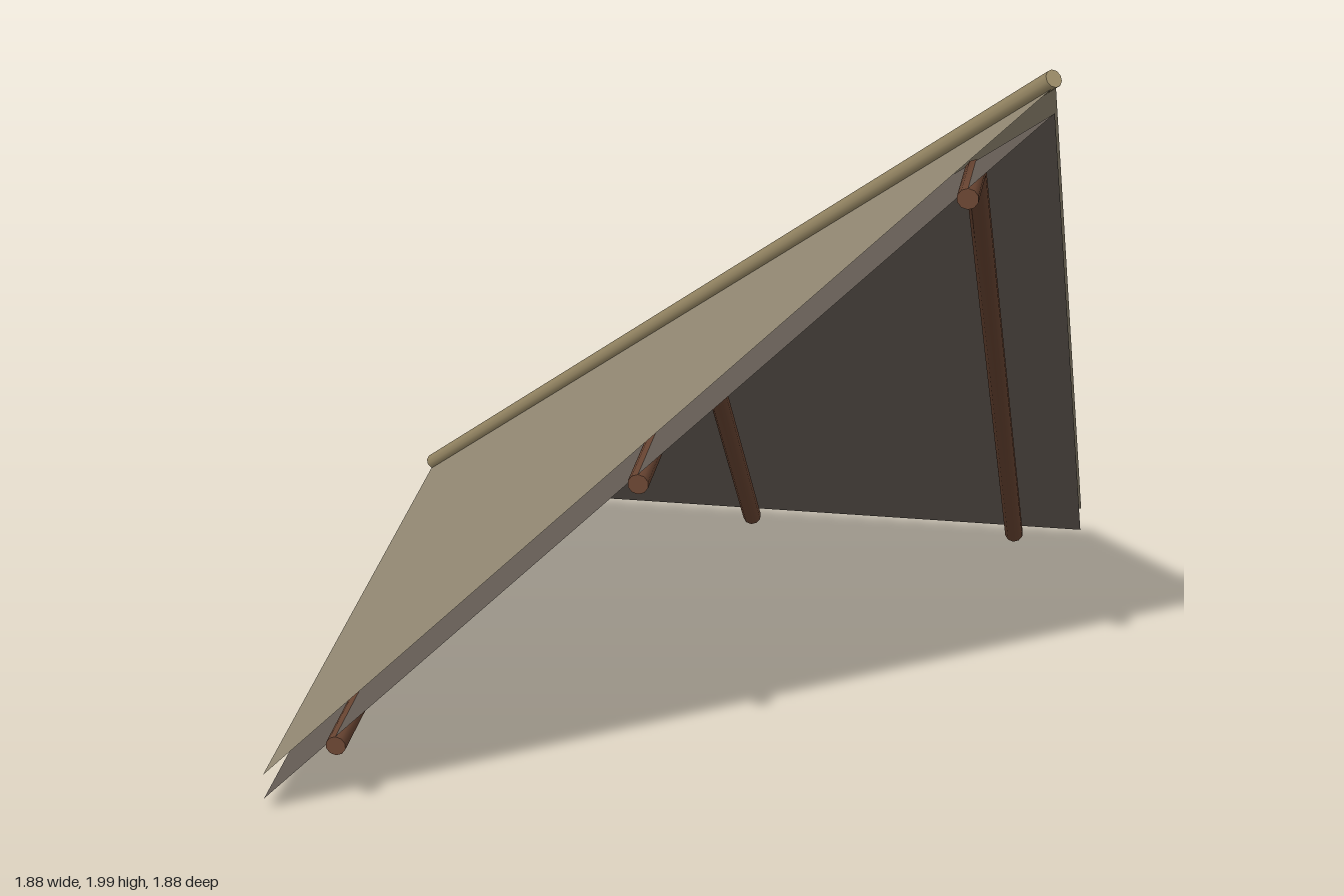
import * as THREE from 'three';
import { toCreasedNormals } from 'three/addons/utils/BufferGeometryUtils.js';

const HALF = 0.93; // half the width of the square plan

const thatchMat = new THREE.MeshStandardMaterial({ color: 0x9c917a, side: THREE.DoubleSide });
const liningMat = new THREE.MeshStandardMaterial({ color: 0x6b625a, side: THREE.DoubleSide });
const poleMat = new THREE.MeshStandardMaterial({ color: 0x6b4633 });
const ridgeMat = new THREE.MeshStandardMaterial({ color: 0x9c8c68 });

// Two 45 degree slopes meeting on the diagonal hip: y = min(x, z) + lift
function hipSheet(name, lift, material) {
  const group = new THREE.Group();
  group.name = name;
  const corner = (x, z) => new THREE.Vector3(x, Math.min(x, z) + lift, z);
  const low = corner(-HALF, -HALF);
  const peak = corner(HALF, HALF);
  const slopes = {
    BackSlope: [low, peak, corner(HALF, -HALF)],
    RightSlope: [low, corner(-HALF, HALF), peak],
  };
  for (const [side, points] of Object.entries(slopes)) {
    const geometry = new THREE.BufferGeometry().setFromPoints(points);
    geometry.computeVertexNormals();
    const mesh = new THREE.Mesh(geometry, material);
    mesh.name = name + side;
    group.add(mesh);
  }
  return group;
}

// Pole that climbs the back slope, then bends level under the side slope at a mitred joint
function bentRafter(x) {
  const radius = 0.025, lift = 0.95;
  const rings = [
    { y: -0.92 + lift - 0.005, z: -0.92, angle: Math.PI / 4, stretch: 1 },
    { y: x + lift, z: x, angle: Math.PI / 8, stretch: 1 / Math.cos(Math.PI / 8) },
    { y: x + lift, z: HALF, angle: 0, stretch: 1 },
  ];
  const geometry = new THREE.CylinderGeometry(radius, radius, 2, 10, 2);
  const pos = geometry.attributes.position;
  for (let i = 0; i < pos.count; i++) {
    const ring = rings[Math.round(pos.getY(i)) + 1];
    const d = pos.getZ(i) * ring.stretch;
    pos.setXYZ(i, x + pos.getX(i), ring.y - d * Math.cos(ring.angle), ring.z + d * Math.sin(ring.angle));
  }
  const mesh = new THREE.Mesh(toCreasedNormals(geometry, 0.75), poleMat);
  mesh.name = 'rafter';
  return mesh;
}

// Straight round pole between two points
function straightPole(name, from, to, radius, material) {
  const along = to.clone().sub(from);
  const mesh = new THREE.Mesh(new THREE.CylinderGeometry(radius, radius, along.length(), 10), material);
  mesh.position.copy(from).add(to).multiplyScalar(0.5);
  mesh.quaternion.setFromUnitVectors(new THREE.Vector3(0, 1, 0), along.normalize());
  mesh.name = name;
  return mesh;
}

export function createModel() {
  const model = new THREE.Group();
  model.name = 'hipRoofCorner';

  // Outer covering and the darker lining beneath it
  model.add(hipSheet('covering', 1.04, thatchMat));
  model.add(hipSheet('lining', 0.975, liningMat));

  // Supporting rafters
  for (const x of [-0.745, 0, 0.745]) model.add(bentRafter(x));

  // Pole capping the hip
  model.add(straightPole('hipPole',
    new THREE.Vector3(-0.925, 0.128, -0.925),
    new THREE.Vector3(0.925, 1.983, 0.925), 0.021, ridgeMat));

  return model;
}
